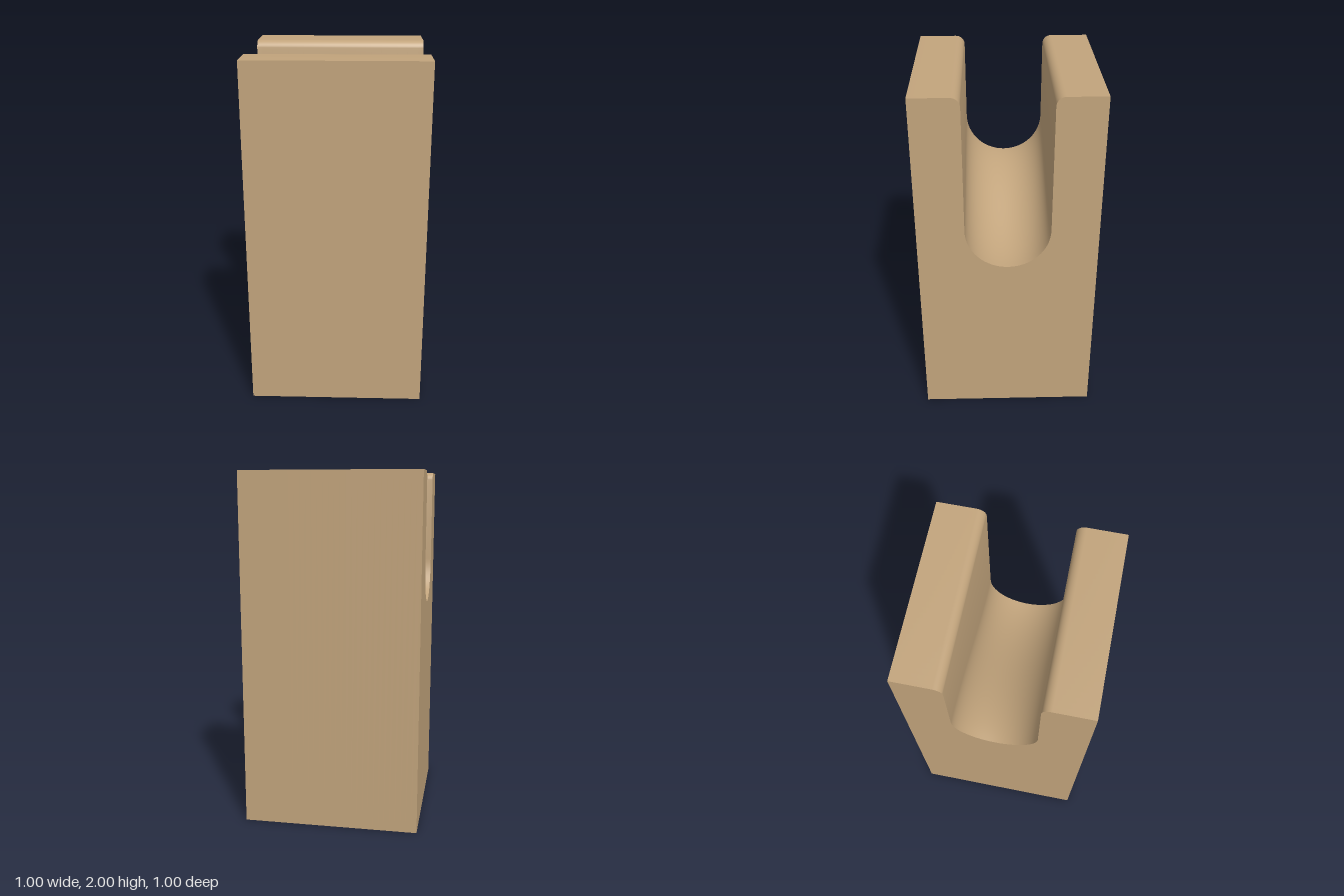
import * as THREE from 'three';
import { toCreasedNormals } from 'three/addons/utils/BufferGeometryUtils.js';

const HALF = 0.498;   // half width and half depth of the block
const TOP = 2;
const SLOT = 0.235;   // half width of the slot and radius of its floor
const FILLET = 0.05;  // rounding of the slot's upper lips
const LOW = 1.0, HIGH = 1.25; // slot floor at the left and right ends
const STEPS = 32;

// Points along an arc in the (z, y) plane
function arc(cz, cy, radius, from, to, segments) {
  return Array.from({ length: segments + 1 }, (_, i) => {
    const a = from + (to - from) * i / segments;
    return new THREE.Vector2(cz + radius * Math.cos(a), cy + radius * Math.sin(a));
  });
}

// Block outline with a round-bottomed slot whose floor lies at the given height
function outline(floor) {
  const lip = SLOT + FILLET;
  return [
    new THREE.Vector2(-HALF, 0),
    new THREE.Vector2(HALF, 0),
    new THREE.Vector2(HALF, TOP),
    ...arc(lip, TOP - FILLET, FILLET, Math.PI / 2, Math.PI, 8),
    ...arc(0, floor + SLOT, SLOT, 0, -Math.PI, 32),
    ...arc(-lip, TOP - FILLET, FILLET, 0, Math.PI / 2, 8),
    new THREE.Vector2(-HALF, TOP),
  ];
}

// Loft the outline along x while the slot floor eases down from right to left
function slottedBlockGeometry() {
  const positions = [], index = [];
  const n = outline(LOW).length;
  for (let s = 0; s <= STEPS; s++) {
    const t = s / STEPS;
    const floor = HIGH + (LOW - HIGH) * THREE.MathUtils.smoothstep(t, 0, 1);
    for (const p of outline(floor)) positions.push(-HALF + 2 * HALF * t, p.y, p.x);
  }
  for (let s = 0; s < STEPS; s++) {
    for (let i = 0; i < n; i++) {
      const a = s * n + i, b = s * n + (i + 1) % n;
      index.push(a, a + n, b + n, a, b + n, b);
    }
  }
  // End faces
  for (const [a, b, c] of THREE.ShapeUtils.triangulateShape(outline(HIGH), [])) index.push(a, b, c);
  const last = STEPS * n;
  for (const [a, b, c] of THREE.ShapeUtils.triangulateShape(outline(LOW), [])) index.push(last + a, last + c, last + b);

  const geometry = new THREE.BufferGeometry();
  geometry.setAttribute('position', new THREE.Float32BufferAttribute(positions, 3));
  geometry.setIndex(index);
  return toCreasedNormals(geometry, 0.6);
}

export function createModel() {
  const tan = new THREE.MeshStandardMaterial({ color: 0xc2a47c });
  tan.name = 'tan';
  const block = new THREE.Mesh(slottedBlockGeometry(), tan);
  block.name = 'slottedBlock';
  const model = new THREE.Group();
  model.name = 'slottedPost';
  model.add(block);
  return model;
}
